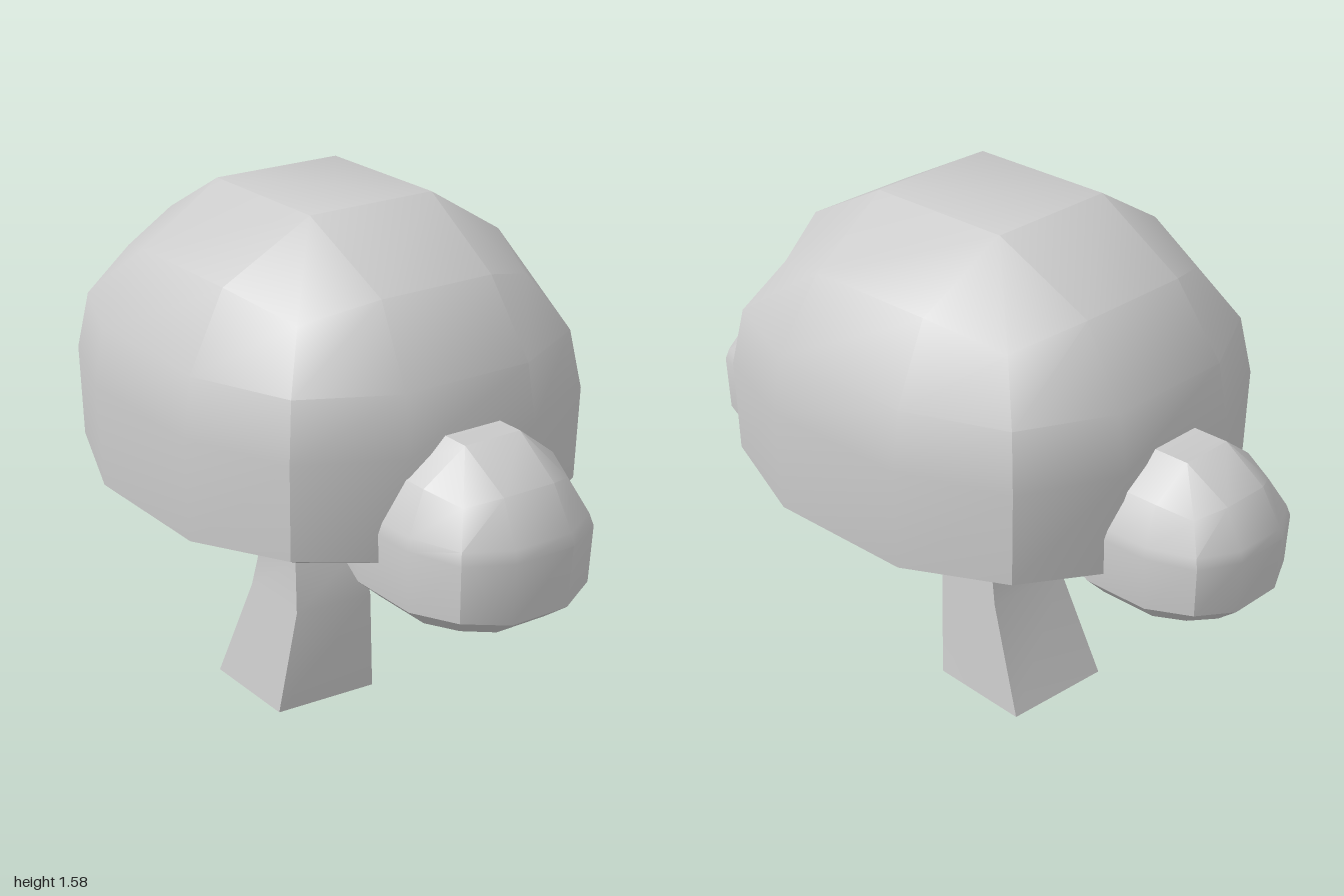
import * as THREE from 'three';
import { toCreasedNormals } from 'three/addons/utils/BufferGeometryUtils.js';

const material = new THREE.MeshStandardMaterial({ color: 0xcccccc });
const A = 0.34; // half-width of the middle third of each side

function meshFrom(name, pos, index, crease) {
  const g = new THREE.BufferGeometry();
  g.setAttribute('position', new THREE.Float32BufferAttribute(pos, 3));
  g.setIndex(index);
  const mesh = new THREE.Mesh(toCreasedNormals(g, crease), material);
  mesh.name = name;
  return mesh;
}

// Rounded-box dome: 12-sided rings, each end closed by a 3 x 3 grid cap.
// Ring = [size, y, corner size, corner lift]; cap height is the middle quad.
function canopy(name, [cx, cz, rx, rz], rings, topY, bottomY) {
  const pos = [], index = [];
  const put = (k, u, v, y) => {
    for (let i = 0; i < k; i++) [u, v] = [-v, u];
    pos.push(cx + u * rx, y, cz - v * rz);
  };
  const quad = (a, b, c, d) => index.push(a, b, c, a, c, d);

  for (const [s, y, c, lift = 0] of rings) {
    for (let k = 0; k < 4; k++) {
      put(k, c, c, y + lift);
      put(k, A * s ** 0.5, s, y);
      put(k, -A * s ** 0.5, s, y);
    }
  }
  for (let r = 0; r < rings.length - 1; r++) {
    for (let i = 0; i < 12; i++) {
      const j = (i + 1) % 12, lo = r * 12, hi = lo + 12;
      quad(lo + i, lo + j, hi + j, hi + i);
    }
  }
  const cap = (base, y, size, up) => {
    const q = pos.length / 3;
    for (let k = 0; k < 4; k++) put(k, size, size, y);
    const face = (a, b, c, d) => (up ? quad(a, b, c, d) : quad(d, c, b, a));
    for (let k = 0; k < 4; k++) {
      const i = 3 * k;
      face(base + i, base + i + 1, q + k, base + (i + 11) % 12);
      face(base + i + 1, base + i + 2, q + (k + 1) % 4, q + k);
    }
    face(q, q + 1, q + 2, q + 3);
  };
  cap((rings.length - 1) * 12, topY, 0.33, true);
  cap(0, bottomY, 0.3, false);
  return meshFrom(name, pos, index, 0.6);
}

// Four-sided limb through sections of corners [x, y, z], counter-clockwise from above
function limb(name, sections) {
  const index = [], n = sections.length;
  for (let r = 0; r < n - 1; r++) {
    for (let i = 0; i < 4; i++) {
      const j = (i + 1) % 4, a = r * 4;
      index.push(a + i, a + j, a + 4 + j, a + i, a + 4 + j, a + 4 + i);
    }
  }
  const t = (n - 1) * 4;
  index.push(2, 1, 0, 3, 2, 0, t, t + 1, t + 2, t, t + 2, t + 3);
  return meshFrom(name, sections.flat(2), index, 0.5);
}

// Slightly twisted rectangular section
const section = (y, x0, x1, z0, z1, twist = 0.02) => [
  [x0, y, z1], [x1 - twist, y, z1], [x1, y, z0 + twist], [x0 + twist, y, z0]];

export function createModel() {
  const tree = new THREE.Group();
  tree.name = 'tree';

  // Large central crown with an almost flat underside
  tree.add(canopy('mainCanopy', [0, 0, 0.695, 0.62], [
    [0.84, 0.705, 0.66],
    [0.975, 0.735, 0.79, 0.03],
    [1, 1.04, 0.8],
    [0.955, 1.21, 0.76],
    [0.755, 1.425, 0.62, -0.06],
  ], 1.583, 0.71));

  // Small side crowns, hollowed underneath
  const sides = [
    ['leftCanopy', [0.66, 0, 0.34, 0.28], 0.645, 1.077],
    ['rightCanopy', [-0.70, -0.005, 0.30, 0.25], 0.69, 1.07],
  ];
  for (const [name, placement, rim, top] of sides) {
    const h = top - rim;
    tree.add(canopy(name, placement, [
      [0.74, rim - 0.055, 0.56],
      [0.96, rim, 0.78, 0.015],
      [1, rim + 0.42 * h, 0.8],
      [0.97, rim + 0.5 * h, 0.77],
      [0.78, rim + 0.78 * h, 0.63, -0.025],
    ], top, rim + 0.03));
  }

  // Leaning trunk that kinks back under the crown
  tree.add(limb('trunk', [
    section(0, -0.26, 0.09, -0.14, 0.21),
    section(0.33, -0.14, 0.12, -0.108, 0.165),
    section(0.48, -0.115, 0.085, -0.1, 0.145),
    section(0.61, -0.16, 0.05, -0.1, 0.16),
    section(0.78, -0.23, 0.04, -0.1, 0.18),
  ]));

  // Side branch rising into the crown
  tree.add(limb('branch', [
    [[-0.08, 0.52, 0.12], [0.06, 0.52, 0.12], [0.06, 0.52, -0.06], [-0.08, 0.52, -0.06]],
    [[-0.06, 0.66, 0.11], [0.045, 0.61, 0.11], [0.07, 0.61, -0.06], [-0.06, 0.66, -0.06]],
    [[0.16, 0.82, 0.08], [0.25, 0.75, 0.08], [0.27, 0.75, -0.06], [0.16, 0.82, -0.06]],
  ]));

  return tree;
}
